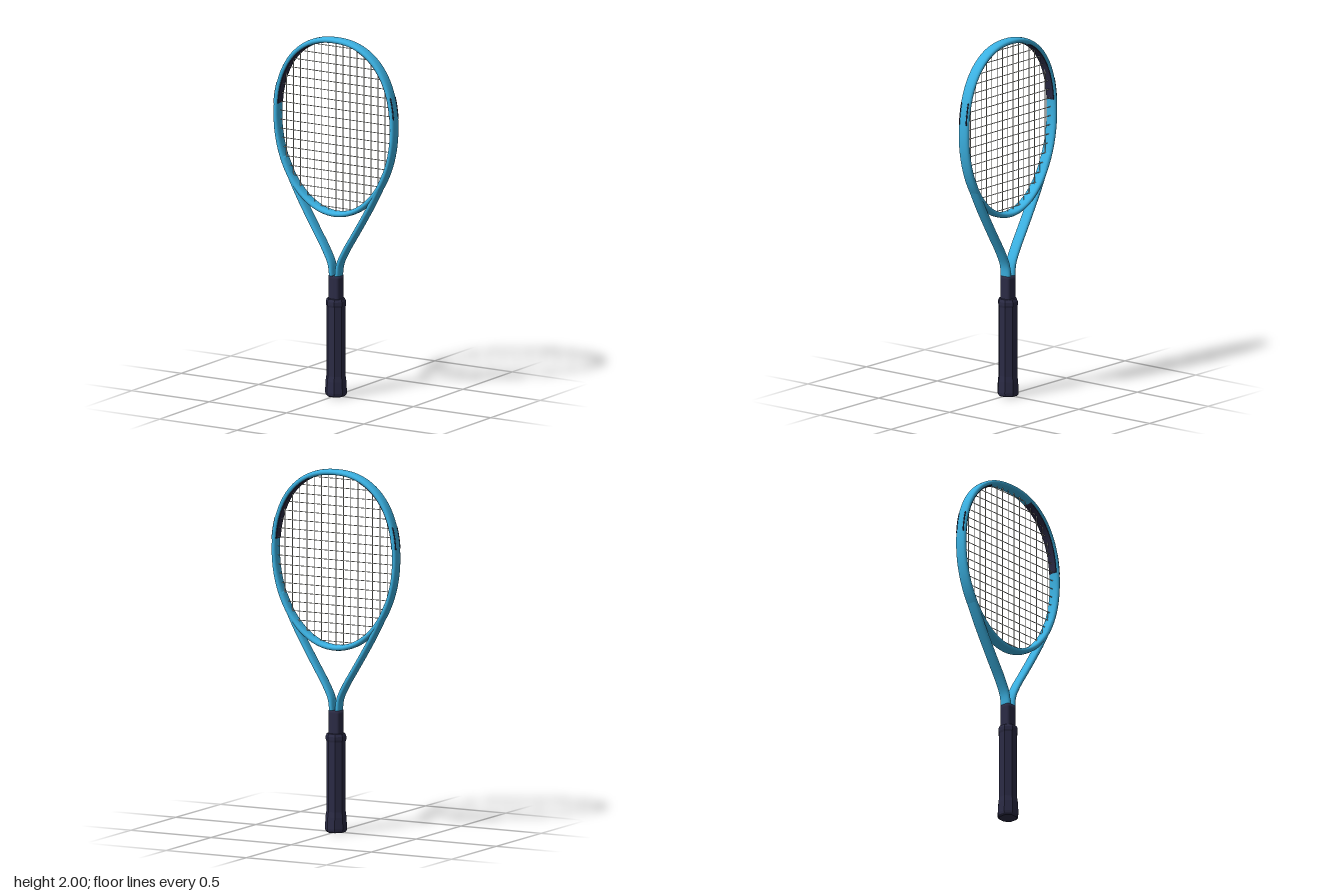
import * as THREE from 'three';

const frameBlue = new THREE.MeshStandardMaterial({ color: 0x3bb1e2 });
frameBlue.name = 'frame blue';
const gripNavy = new THREE.MeshStandardMaterial({ color: 0x2b2b45 });
gripNavy.name = 'grip navy';
const stringWhite = new THREE.MeshStandardMaterial({ color: 0xe4e4dc });
stringWhite.name = 'string white';

// Centre line of the head: full-shouldered above its widest point, a longer ellipse below
const HEAD = { y: 1.53, rx: 0.3755, up: 0.4545, down: 0.514, upPower: 2.25 };
const headPoint = (t) => {
  const c = Math.cos(t), s = Math.sin(t);
  if (s <= 0) return new THREE.Vector2(HEAD.rx * c, HEAD.y + HEAD.down * s);
  const p = 2 / HEAD.upPower;
  return new THREE.Vector2(HEAD.rx * Math.sign(c) * Math.abs(c) ** p, HEAD.y + HEAD.up * s ** p);
};
// Remaining half-extent of the head at a fraction of the other axis
const headSpan = (fraction, power) => (1 - Math.abs(fraction) ** power) ** (1 / power);

// Rounded-rectangle section: a lies in the racket plane, b along z
function roundedSection(ha, hb, power, ca = 0, cb = 0, sides = 20) {
  const p = 2 / power;
  return Array.from({ length: sides }, (_, j) => {
    const s = (j / sides) * Math.PI * 2, c = Math.cos(s), d = Math.sin(s);
    return [ca + ha * Math.sign(c) * Math.abs(c) ** p, cb + hb * Math.sign(d) * Math.abs(d) ** p, ca, cb];
  });
}

// Sweeps a section along a path in the xy plane; open ends are capped
function sweep(path, t0, t1, steps, section, closed = false) {
  const pos = [], index = [], m = section.length;
  const ring = (t, cap) => {
    const p = path(t);
    const tan = path(t + 1e-3).sub(path(t - 1e-3)).normalize();
    for (const [a, b, ca, cb] of section) {
      const u = cap ? ca : a, v = cap ? cb : b;
      pos.push(p.x + tan.y * u, p.y - tan.x * u, v);
    }
  };
  if (!closed) ring(t0, true);
  for (let i = 0; i < steps + (closed ? 0 : 1); i++) ring(t0 + (t1 - t0) * i / steps, false);
  if (!closed) ring(t1, true);
  const rings = pos.length / 3 / m;
  for (let i = 0; i < (closed ? rings : rings - 1); i++) {
    for (let j = 0; j < m; j++) {
      const k = (j + 1) % m, n = (i + 1) % rings;
      const A = i * m + j, B = n * m + j, C = i * m + k, D = n * m + k;
      index.push(A, B, C, B, D, C);
    }
  }
  const g = new THREE.BufferGeometry();
  g.setAttribute('position', new THREE.Float32BufferAttribute(pos, 3));
  g.setIndex(index);
  g.computeVertexNormals();
  return g;
}

// Eight-sided turned part with faceted sides; radii are measured to the flats
function octagon(profile) {
  const pts = profile.map(([r, y]) => new THREE.Vector2(r / Math.cos(Math.PI / 8), y));
  const g = new THREE.LatheGeometry(pts, 8, Math.PI / 8).toNonIndexed();
  g.computeVertexNormals();
  return g;
}

export function createModel() {
  const racket = new THREE.Group();
  racket.name = 'racket';
  const add = (name, geometry, material, parent = racket) => {
    const mesh = new THREE.Mesh(geometry, material);
    mesh.name = name;
    parent.add(mesh);
    return mesh;
  };

  // Head hoop
  const tube = roundedSection(0.0155, 0.0335, 2.5);
  add('headHoop', sweep(headPoint, 0, Math.PI * 2, 120, tube, true), frameBlue);

  for (const [side, label] of [[1, 'left'], [-1, 'right']]) {
    // Throat arm, running off the hoop into the shaft
    const curve = new THREE.CatmullRomCurve3(
      [[0.3355, 1.3], [0.288, 1.2], [0.24, 1.107], [0.185, 1.012], [0.123, 0.91],
        [0.062, 0.81], [0.027, 0.735], [0.017, 0.66]]
        .map(([x, y]) => new THREE.Vector3(side * x, y, 0)));
    const armPath = (t) => {
      const p = curve.getPoint(THREE.MathUtils.clamp(t, 0, 1));
      return new THREE.Vector2(p.x, p.y);
    };
    add(label + 'ThroatArm', sweep(armPath, 0, 1, 48, roundedSection(0.015, 0.0325, 2.5)), frameBlue);

    // Grommet strip lining the inside of the upper hoop
    const angle = (t) => (side > 0 ? t : Math.PI - t);
    const [g0, g1] = [angle(0.11), angle(1.17)].sort((a, b) => a - b);
    add(label + 'GrommetStrip',
      sweep(headPoint, g0, g1, 32, roundedSection(0.009, 0.026, 6, -0.008)), gripNavy);

    // Narrow slits on the outside of the hoop
    const [s0, s1] = [angle(0.1), angle(0.355)].sort((a, b) => a - b);
    for (const z of [-0.0235, 0.0235]) {
      add(label + 'OuterSlit',
        sweep(headPoint, s0, s1, 12, roundedSection(0.003, 0.0035, 4, 0.0115, z, 8)), gripNavy);
    }
  }

  // Strings, cut to the inside of the hoop
  const strings = new THREE.Group();
  strings.name = 'strings';
  racket.add(strings);
  const stringGeometry = new THREE.CylinderGeometry(0.0022, 0.0022, 1, 6);
  for (let i = -7; i <= 7; i++) {
    const x = i * 0.0455;
    const top = HEAD.up * headSpan(x / HEAD.rx, HEAD.upPower);
    const bottom = HEAD.down * headSpan(x / HEAD.rx, 2);
    const main = add('mainString', stringGeometry, stringWhite, strings);
    main.scale.y = top + bottom;
    main.position.set(x, HEAD.y + (top - bottom) / 2, 0.0015);
  }
  for (let i = 0; i < 19; i++) {
    const y = 1.05 + i * 0.05;
    const d = y - HEAD.y;
    const span = d > 0 ? headSpan(d / HEAD.up, HEAD.upPower) : headSpan(d / HEAD.down, 2);
    const cross = add('crossString', stringGeometry, stringWhite, strings);
    cross.scale.y = 2 * span * HEAD.rx;
    cross.rotation.z = Math.PI / 2;
    cross.position.set(0, y, -0.0015);
  }

  // Rounded square shaft that swallows the ends of the arms
  const upright = (t) => new THREE.Vector2(0, t);
  add('shaft', sweep(upright, 0.5, 0.673, 10, roundedSection(0.0345, 0.0335, 4.5)), gripNavy);

  // Grip with a raised collar, and flared butt cap
  add('grip', octagon([[0.049, 0.09], [0.049, 0.5], [0.052, 0.512], [0.052, 0.53],
    [0.046, 0.545], [0, 0.548]]), gripNavy);
  add('buttCap', octagon([[0, 0], [0.046, 0], [0.054, 0.009], [0.056, 0.022],
    [0.053, 0.085], [0.049, 0.115]]), gripNavy);
  return racket;
}
